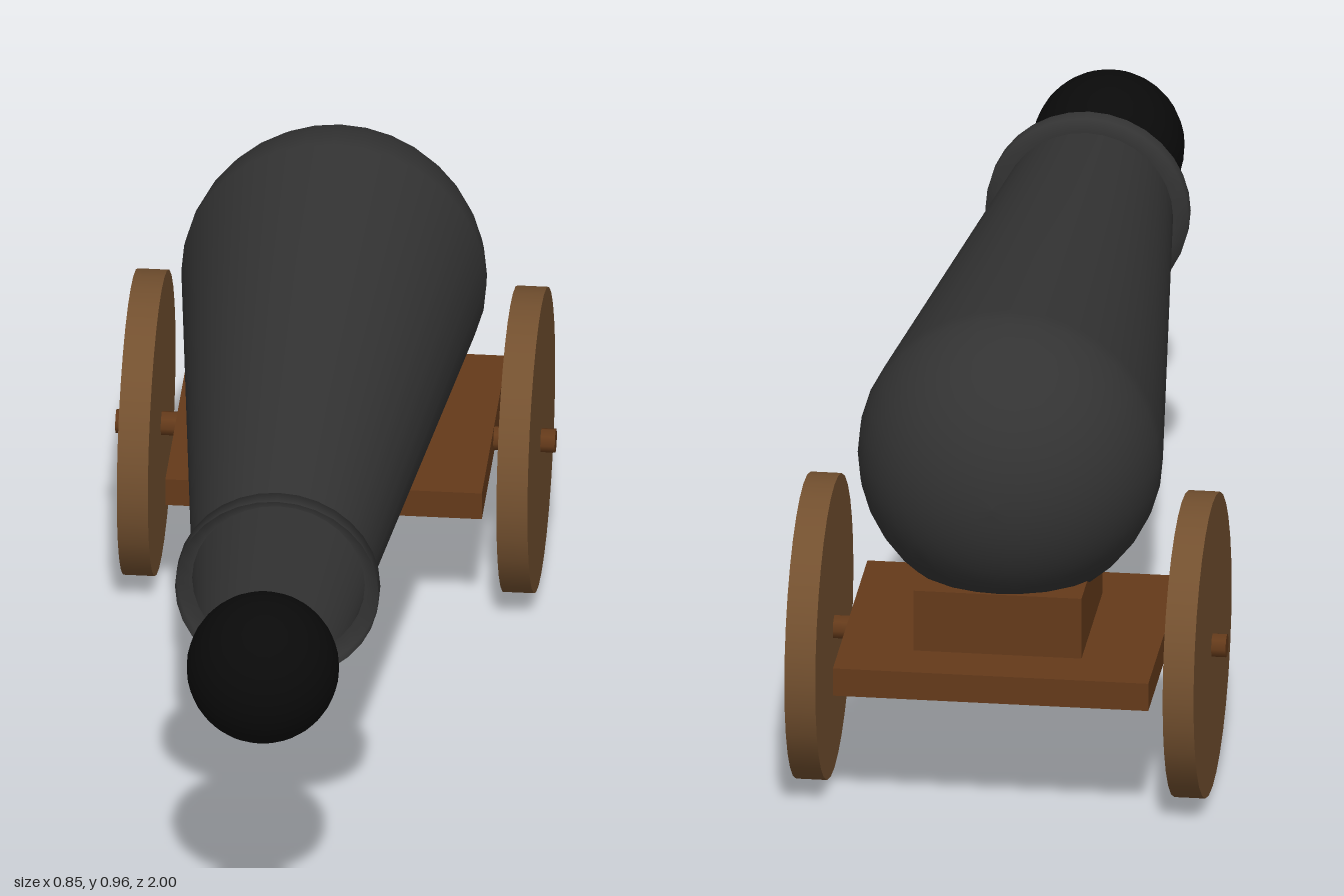
import * as THREE from 'three';

const paint = (color, side = THREE.FrontSide) => new THREE.MeshStandardMaterial({ color, side });

export function createModel() {
  const model = new THREE.Group();
  model.name = 'cannon';
  const iron = paint(0x333333, THREE.DoubleSide);
  const shot = paint(0x0a0a0a);
  const timber = paint(0x643a1a);
  const wheelWood = paint(0x73502f);

  const add = (name, geometry, material, x, y, z) => {
    const mesh = new THREE.Mesh(geometry, material);
    mesh.name = name;
    mesh.position.set(x, y, z);
    model.add(mesh);
    return mesh;
  };

  const axisY = 0.663, wheelY = 0.297, wheelZ = -0.705;

  // Hollow barrel: round breech, straight taper to the muzzle
  const breechZ = -0.66, breechR = 0.295, neckZ = 0.52, neckR = 0.167;
  const profile = [];
  for (let i = 0; i <= 12; i++) {
    const a = (i / 12) * Math.PI / 2;
    profile.push(new THREE.Vector2(breechR * Math.sin(a), breechZ - breechR * Math.cos(a)));
  }
  profile.push(new THREE.Vector2(neckR, neckZ));
  add('barrel', new THREE.LatheGeometry(profile, 32).rotateX(Math.PI / 2), iron, 0, axisY, 0);

  // Flared collar around the open muzzle
  const collar = [[neckR, neckZ], [0.197, neckZ], [0.197, 0.555]].map(p => new THREE.Vector2(...p));
  add('muzzleRim', new THREE.LatheGeometry(collar, 32).rotateX(Math.PI / 2), iron, 0, axisY, 0);

  // Cannonball in front of the muzzle
  add('cannonball', new THREE.SphereGeometry(0.147, 32, 20), shot, 0, axisY, 0.853);

  // Carriage: deck and the block that carries the barrel
  add('deck', new THREE.BoxGeometry(0.612, 0.057, 0.535), timber, 0, 0.2965, -0.7075);
  add('supportBlock', new THREE.BoxGeometry(0.326, 0.13, 0.326), timber, 0, 0.385, wheelZ);

  // Axle and the two solid wheels
  add('axle', new THREE.CylinderGeometry(0.024, 0.024, 0.85, 8).rotateZ(Math.PI / 2), timber, 0, wheelY, wheelZ);
  for (const [name, side] of [['leftWheel', 1], ['rightWheel', -1]]) {
    add(name, new THREE.CylinderGeometry(0.296, 0.296, 0.06, 32).rotateZ(Math.PI / 2), wheelWood, side * 0.367, wheelY, wheelZ);
  }
  return model;
}
